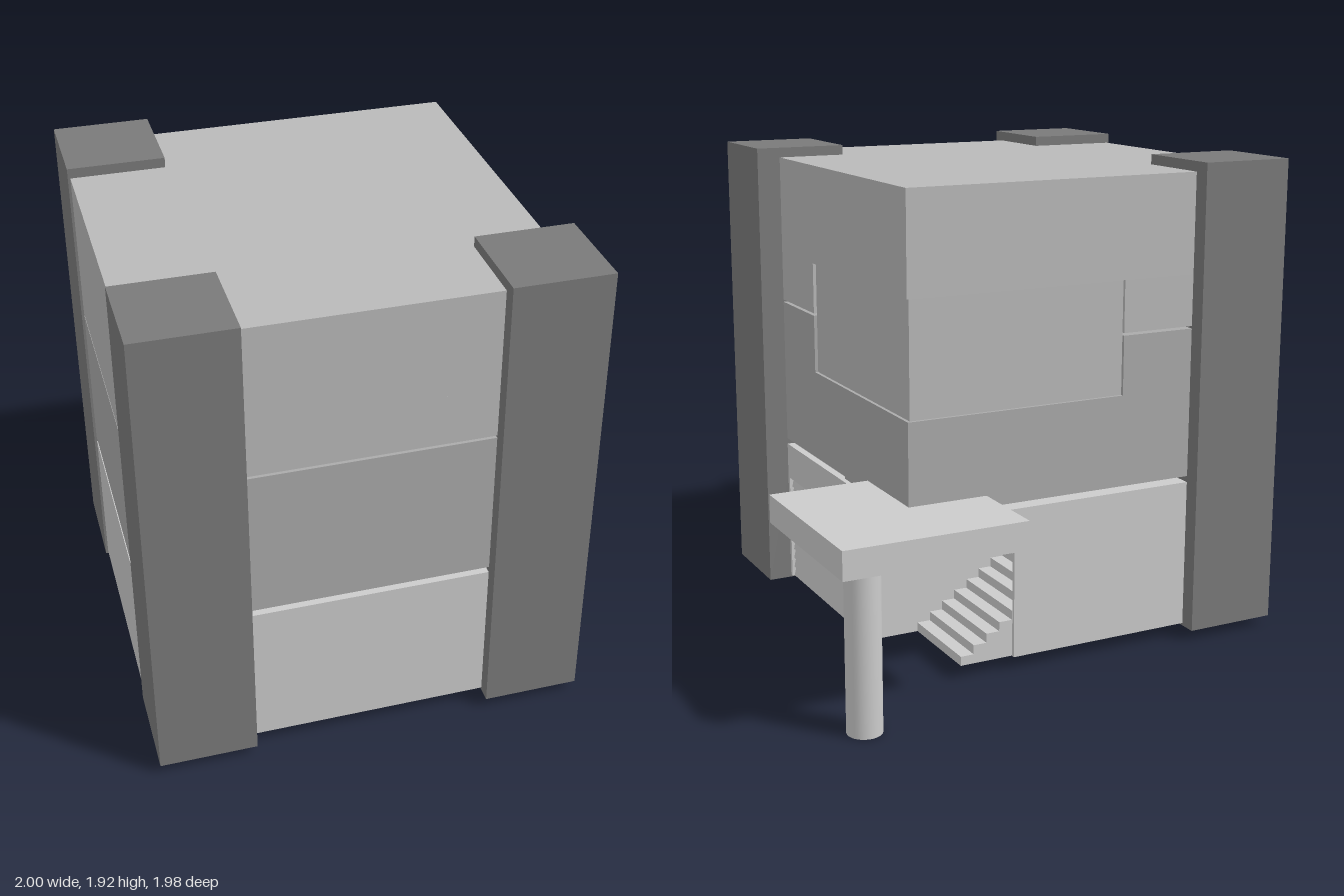
import * as THREE from 'three';

const mat = (color) => new THREE.MeshStandardMaterial({ color, flatShading: true });

export function createModel() {
  const model = new THREE.Group();
  const light = mat(0xcccccc);
  const upperGrey = mat(0xb9b9b9);
  const middleGrey = mat(0xaaaaaa);
  const dark = mat(0x7a7a7a);

  const add = (name, geometry, material) => {
    const mesh = new THREE.Mesh(geometry, material);
    mesh.name = name;
    model.add(mesh);
    return mesh;
  };
  // Box given by its limits on each axis
  const box = (name, [x0, x1], [y0, y1], [z0, z1], material) => {
    const g = new THREE.BoxGeometry(x1 - x0, y1 - y0, z1 - z0);
    g.translate((x0 + x1) / 2, (y0 + y1) / 2, (z0 + z1) / 2);
    return add(name, g, material);
  };
  // Floor plan of (x, z) points raised from y0 to y1
  const storey = (name, plan, y0, y1, material) => {
    const shape = new THREE.Shape(plan.map(([x, z]) => new THREE.Vector2(x, z)));
    const g = new THREE.ExtrudeGeometry(shape, { depth: y1 - y0, bevelEnabled: false });
    g.rotateX(Math.PI / 2).translate(0, y1, 0);
    return add(name, g, material);
  };

  const full = [[-0.99, 0.93], [0.6, 0.93], [0.6, -0.66], [-0.99, -0.66]];
  const cornerCut = [[-0.99, 0.93], [0.6, 0.93], [0.6, 0.25], [-0.31, 0.25], [-0.31, -0.66], [-0.99, -0.66]];
  // Ground floor plan: garage recess on the side, stairwell at the back corner
  const ground = [
    [-0.99, 0.93], [0.6, 0.93], [0.6, 0.585], [0.04, 0.585], [0.04, -0.13], [0.6, -0.13],
    [0.6, -0.25], [-0.31, -0.25], [-0.31, -0.645], [0.16, -0.645], [0.16, -0.66], [-0.99, -0.66],
  ];

  // Three storeys
  storey('groundFloorWalls', ground, 0.05, 0.5, light);
  storey('groundFloorCeiling', full, 0.5, 0.65, light);
  storey('middleFloorBase', full, 0.675, 1.04, middleGrey);
  storey('middleFloorWalls', cornerCut, 1.04, 1.275, middleGrey);
  storey('topFloorWalls', cornerCut, 1.285, 1.49, upperGrey);
  storey('roofBlock', full, 1.49, 1.885, upperGrey);

  // Corner window, set slightly behind the walls
  box('cornerWindow', [-0.31, 0.587], [1.04, 1.49], [-0.647, 0.25], upperGrey);

  // Fillers in the thin gaps between storeys, and the strip under the floor
  box('upperSpacer', [-0.45, 0.45], [1.27, 1.29], [-0.5, 0.38], upperGrey);
  box('lowerSpacer', [-0.31, 0.58], [0.645, 0.68], [-0.25, 0], middleGrey);
  box('floorStrip', [-0.31, 0.59], [0.043, 0.055], [-0.19, 0], dark);

  // Garage door of overlapping tilted slats
  const door = new THREE.Group();
  door.name = 'garageDoor';
  const slats = 11;
  const slatHeight = 0.45 / slats;
  for (let i = 0; i < slats; i++) {
    const y = 0.05 + i * slatHeight;
    const profile = new THREE.Shape([
      new THREE.Vector2(0.565, y), new THREE.Vector2(0.59, y),
      new THREE.Vector2(0.581, y + slatHeight), new THREE.Vector2(0.565, y + slatHeight),
    ]);
    const g = new THREE.ExtrudeGeometry(profile, { depth: 0.715, bevelEnabled: false });
    const slat = new THREE.Mesh(g.translate(0, 0, -0.13), light);
    slat.name = 'doorSlat';
    door.add(slat);
  }
  model.add(door);

  // Stairs climbing inwards from the open corner
  const steps = 9, run = 0.055, rise = 0.037;
  for (let i = 0; i < steps; i++) {
    box('stairStep', [-0.31, 0.38 - i * run], [0.05 + i * rise, 0.05 + (i + 1) * rise], [-0.642, -0.25], light);
  }

  // Corner pillars
  for (const [x, z] of [[-0.81, 0.795], [0.507, 0.795], [-0.81, -0.535]]) {
    box('cornerPillar', [x - 0.19, x + 0.19], [0.04, 1.925], [z - 0.193, z + 0.193], dark);
  }

  // Terrace slab on one round post
  box('terraceSlab', [0.28, 1], [0.61, 0.72], [-0.995, -0.28], light);
  const post = new THREE.MeshStandardMaterial({ color: 0xcccccc });
  add('terracePost', new THREE.CylinderGeometry(0.066, 0.066, 0.61, 32).translate(0.89, 0.305, -0.903), post);

  return model;
}
